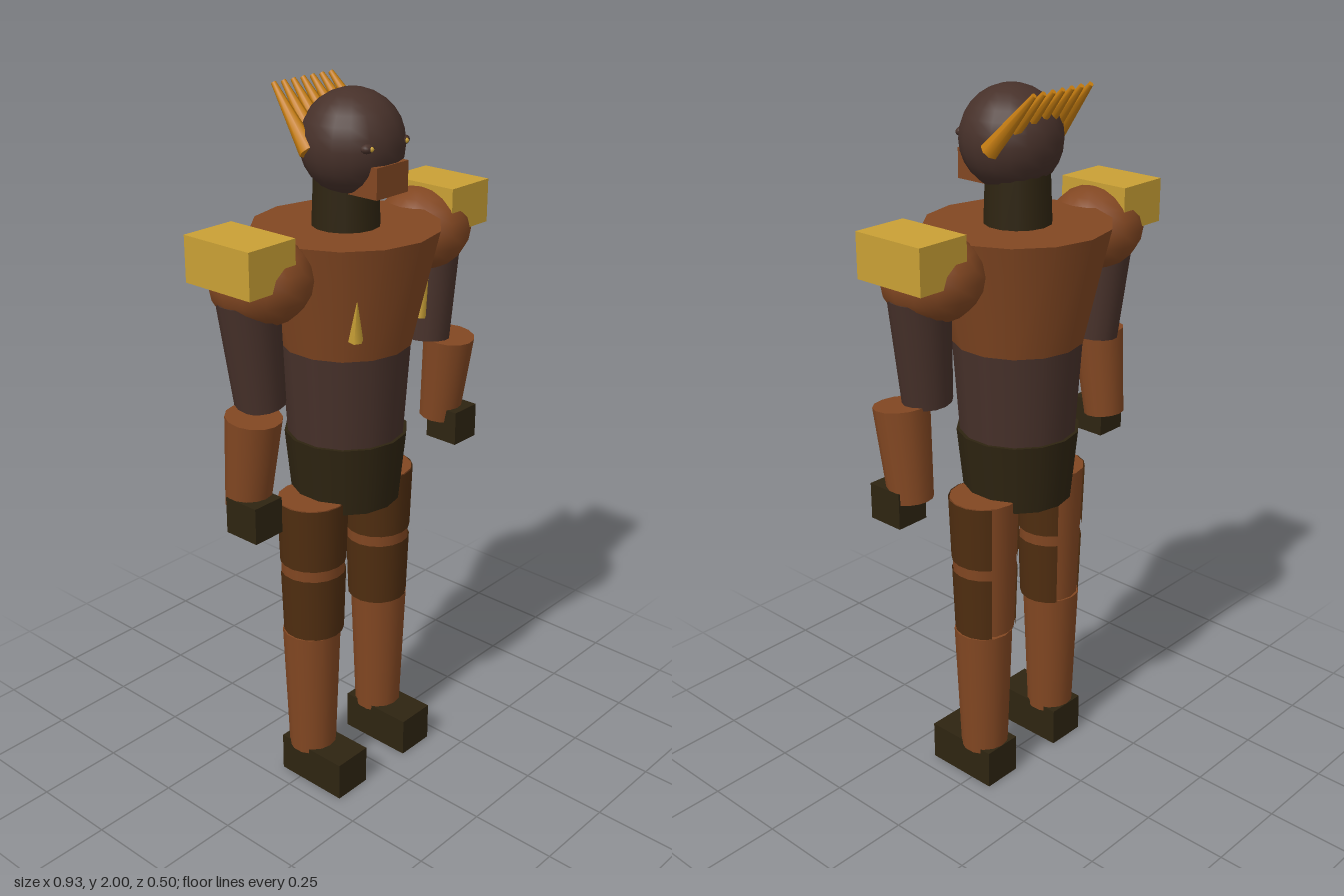
import * as THREE from 'three';

const mat = (name, color, side = THREE.FrontSide) => {
  const m = new THREE.MeshStandardMaterial({ color, side });
  m.name = name;
  return m;
};

export function createModel() {
  const root = new THREE.Group();
  root.name = 'armouredFigure';

  const copper = mat('copper brown', 0x824722);
  const umber = mat('dark umber', 0x47312a);
  const olive = mat('dark olive', 0x2e2411);
  const leather = mat('dark leather', 0x4f2d10, THREE.DoubleSide);
  const gold = mat('pale gold', 0xc9a035);
  const amber = mat('amber', 0xc67d10);

  const add = (parent, name, geo, material, x = 0, y = 0, z = 0) => {
    const m = new THREE.Mesh(geo, material);
    m.name = name;
    m.position.set(x, y, z);
    parent.add(m);
    return m;
  };
  const box = (parent, name, material, size, pos) =>
    add(parent, name, new THREE.BoxGeometry(...size), material, ...pos);
  // Tapered cylinder running from a bottom point to a top point
  const limb = (parent, name, material, bottom, top, rBottom, rTop, sides = 14) => {
    const a = new THREE.Vector3(...bottom), b = new THREE.Vector3(...top);
    const dir = b.clone().sub(a);
    const m = add(parent, name, new THREE.CylinderGeometry(rTop, rBottom, dir.length(), sides), material);
    m.position.copy(a).add(b).multiplyScalar(0.5);
    m.quaternion.setFromUnitVectors(new THREE.Vector3(0, 1, 0), dir.normalize());
    return m;
  };

  // Torso
  limb(root, 'pelvis', olive, [0, 0.87, 0], [0, 1.07, 0], 0.15, 0.17);
  limb(root, 'abdomen', umber, [0, 1.06, 0], [0, 1.33, 0], 0.16, 0.178);
  limb(root, 'chest', copper, [0, 1.325, 0], [0, 1.64, 0], 0.178, 0.25);
  limb(root, 'neck', olive, [0, 1.6, 0], [0, 1.78, 0], 0.092, 0.085);

  // Head, jaw and eyes
  const head = new THREE.Group();
  head.name = 'head';
  root.add(head);
  add(head, 'skull', new THREE.SphereGeometry(0.136, 18, 14), umber, 0, 1.856, 0.022);
  box(head, 'jaw', copper, [0.12, 0.08, 0.11], [0, 1.78, 0.1]);
  for (const s of [1, -1]) {
    add(head, 'eyeSocket', new THREE.SphereGeometry(0.022, 12, 8), umber, s * 0.066, 1.866, 0.13).scale.set(1, 0.6, 0.7);
    add(head, 'eye', new THREE.SphereGeometry(0.007, 8, 6), gold, s * 0.066, 1.866, 0.142);
  }

  // Swept-back crest of seven spikes
  const crest = new THREE.Group();
  crest.name = 'crest';
  root.add(crest);
  for (let i = -3; i <= 3; i++) {
    limb(crest, 'crestSpike', amber, [i * 0.04, 1.845, -0.015], [i * 0.035, 1.995, -0.148], 0.026, 0.007, 8);
  }

  for (const s of [1, -1]) {
    const side = s > 0 ? 'left' : 'right';

    // Chest spike
    limb(root, side + 'ChestSpike', gold, [s * 0.126, 1.39, 0.146], [s * 0.14, 1.5, 0.163], 0.02, 0.001, 6);

    // Arm
    const arm = new THREE.Group();
    arm.name = side + 'Arm';
    root.add(arm);
    add(arm, 'shoulder', new THREE.SphereGeometry(0.133, 14, 10), copper, s * 0.315, 1.565, 0).scale.y = 0.87;
    box(arm, 'shoulderPad', gold, [0.157, 0.12, 0.22], [s * 0.381, 1.63, 0]);
    limb(arm, 'upperArm', umber, [s * 0.333, 1.243, 0.008], [s * 0.36, 1.53, 0], 0.066, 0.08);
    limb(arm, 'forearm', copper, [s * 0.394, 0.985, 0.015], [s * 0.392, 1.238, 0.043], 0.059, 0.074);
    box(arm, 'hand', olive, [0.095, 0.1, 0.105], [s * 0.407, 0.97, 0.05]);

    // Leg
    const leg = new THREE.Group();
    leg.name = side + 'Leg';
    root.add(leg);
    limb(leg, 'thigh', copper, [s * 0.137, 0.5, 0], [s * 0.137, 0.905, 0], 0.083, 0.096);
    // Open plates wrapped round the thigh, with a gap at the back
    for (const [y0, y1] of [[0.495, 0.685], [0.717, 0.904]]) {
      const r = y => 0.086 + (y - 0.5) * 0.032;
      const gap = 0.6;
      const geo = new THREE.CylinderGeometry(r(y1), r(y0), y1 - y0, 14, 1, true, Math.PI + gap, 2 * (Math.PI - gap));
      add(leg, 'thighPlate', geo, leather, s * 0.137, (y0 + y1) / 2, 0);
    }
    limb(leg, 'shin', copper, [s * 0.145, 0.1, 0], [s * 0.145, 0.495, 0], 0.068, 0.083);
    box(leg, 'foot', olive, [0.117, 0.115, 0.225], [s * 0.143, 0.0575, 0.043]);
  }
  return root;
}
